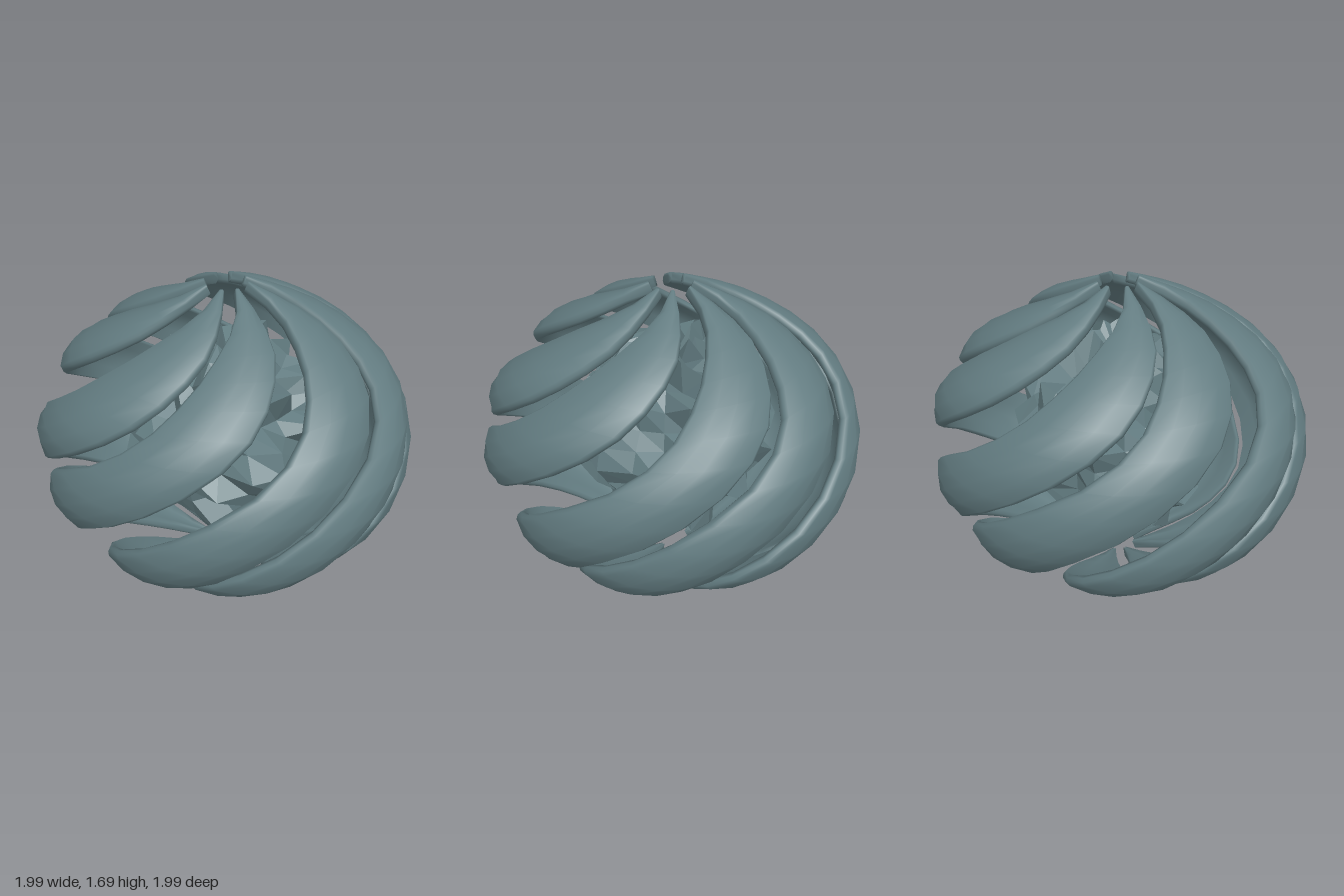
import * as THREE from 'three';

const RINGS = 20, MID = 0.85, THICK = 0.05, DROOP = 0.04;

// Half outline of the cage: radius and height from its middle
const half = [[0.11, 0.845], [0.49, 0.68], [0.785, 0.485], [0.945, 0.265]];
const outline = new THREE.SplineCurve([
  ...half.map(([r, h]) => new THREE.Vector2(r, -h)),
  new THREE.Vector2(1, 0),
  ...half.slice().reverse().map(([r, h]) => new THREE.Vector2(r, h)),
]);

// Blade cross-section: position across the width, depth below the outer face
const section = [
  [-1, 0.6], [-0.98, 0.2], [-0.9, 0], [-0.45, 0], [0, 0], [0.45, 0], [0.9, 0], [0.98, 0.2],
  [1, 0.6], [0.94, 1], [0.45, 1], [0, 1], [-0.45, 1], [-0.94, 1],
];

// Twist of a blade: height, angle of its middle, half width (degrees)
const twist = [
  [0, -83, 5], [0.06, -83, 12], [0.14, -83, 16.5], [0.25, -79, 18], [0.35, -73, 18],
  [0.55, -58, 17.5], [0.7, -47, 16.5], [0.95, -27, 17], [1.15, -9, 16], [1.3, 4, 16.5],
  [1.44, 15.5, 17.5], [1.56, 27.5, 17.5], [1.64, 37, 12], [1.7, 43, 5],
];
function twistAt(y) {
  let i = 1;
  while (i < twist.length - 1 && y > twist[i][0]) i++;
  const a = twist[i - 1], b = twist[i], t = (y - a[0]) / (b[0] - a[0]);
  return [THREE.MathUtils.lerp(a[1], b[1], t), THREE.MathUtils.lerp(a[2], b[2], t)];
}

// One blade twisting from the bottom pole to the top pole, its edges bent inward
function bladeGeometry() {
  const pos = [], index = [], n = section.length;
  for (let i = 0; i <= RINGS; i++) {
    const p = outline.getPointAt(i / RINGS), t = outline.getTangentAt(i / RINGS);
    const [centre, w] = twistAt(MID + p.y);
    for (const [u, depth] of section) {
      const a = THREE.MathUtils.degToRad(centre + u * w);
      const inset = depth * THICK + DROOP * u * u * p.x;
      const r = p.x - t.y * inset;
      pos.push(r * Math.sin(a), MID + p.y + t.x * inset, r * Math.cos(a));
    }
  }
  for (let i = 0; i < RINGS; i++) {
    for (let j = 0; j < n; j++) {
      const a = i * n + j, b = i * n + (j + 1) % n;
      index.push(a, b, b + n, a, b + n, a + n);
    }
  }
  // End caps
  const top = RINGS * n;
  for (let j = 1; j < n - 1; j++) {
    index.push(0, j + 1, j, top, top + j, top + j + 1);
  }
  const geo = new THREE.BufferGeometry();
  geo.setAttribute('position', new THREE.Float32BufferAttribute(pos, 3));
  geo.setIndex(index);
  geo.computeVertexNormals();
  return geo;
}

// Jagged crystal core: a faceted ball with uneven radius
function coreGeometry() {
  const cols = 22, rows = 15;
  const geo = new THREE.SphereGeometry(1, cols, rows);
  const p = geo.attributes.position, v = new THREE.Vector3();
  const hash = (a, b) => {
    const s = Math.sin(a * 127.1 + b * 311.7) * 43758.5453;
    return s - Math.floor(s);
  };
  for (let i = 0; i < p.count; i++) {
    const row = Math.floor(i / (cols + 1));
    const pole = row === 0 || row === rows;
    const col = pole ? 0 : (i % (cols + 1)) % cols;
    v.fromBufferAttribute(p, i).multiplyScalar(0.4 + 0.21 * hash(col, row));
    p.setXYZ(i, v.x, v.y, v.z);
  }
  const flat = geo.toNonIndexed();
  flat.computeVertexNormals();
  return flat;
}

export function createModel() {
  const model = new THREE.Group();
  model.name = 'spiralCage';
  const slate = new THREE.MeshStandardMaterial({ color: 0x627b80 });
  slate.name = 'slate';

  // Four close pairs of spiral blades, with a wide gap between pairs
  const geo = bladeGeometry();
  for (let k = 0; k < 4; k++) {
    const pair = new THREE.Group();
    pair.name = 'bladePair' + (k + 1);
    pair.rotation.y = k * Math.PI / 2;
    for (const [name, turn] of [['leadingBlade', 0], ['trailingBlade', 39.5]]) {
      const blade = new THREE.Mesh(geo, slate);
      blade.name = name;
      blade.rotation.y = THREE.MathUtils.degToRad(turn);
      pair.add(blade);
    }
    model.add(pair);
  }

  // Crystal inside the cage
  const core = new THREE.Mesh(coreGeometry(), slate);
  core.name = 'crystalCore';
  core.position.y = MID;
  model.add(core);
  return model;
}
